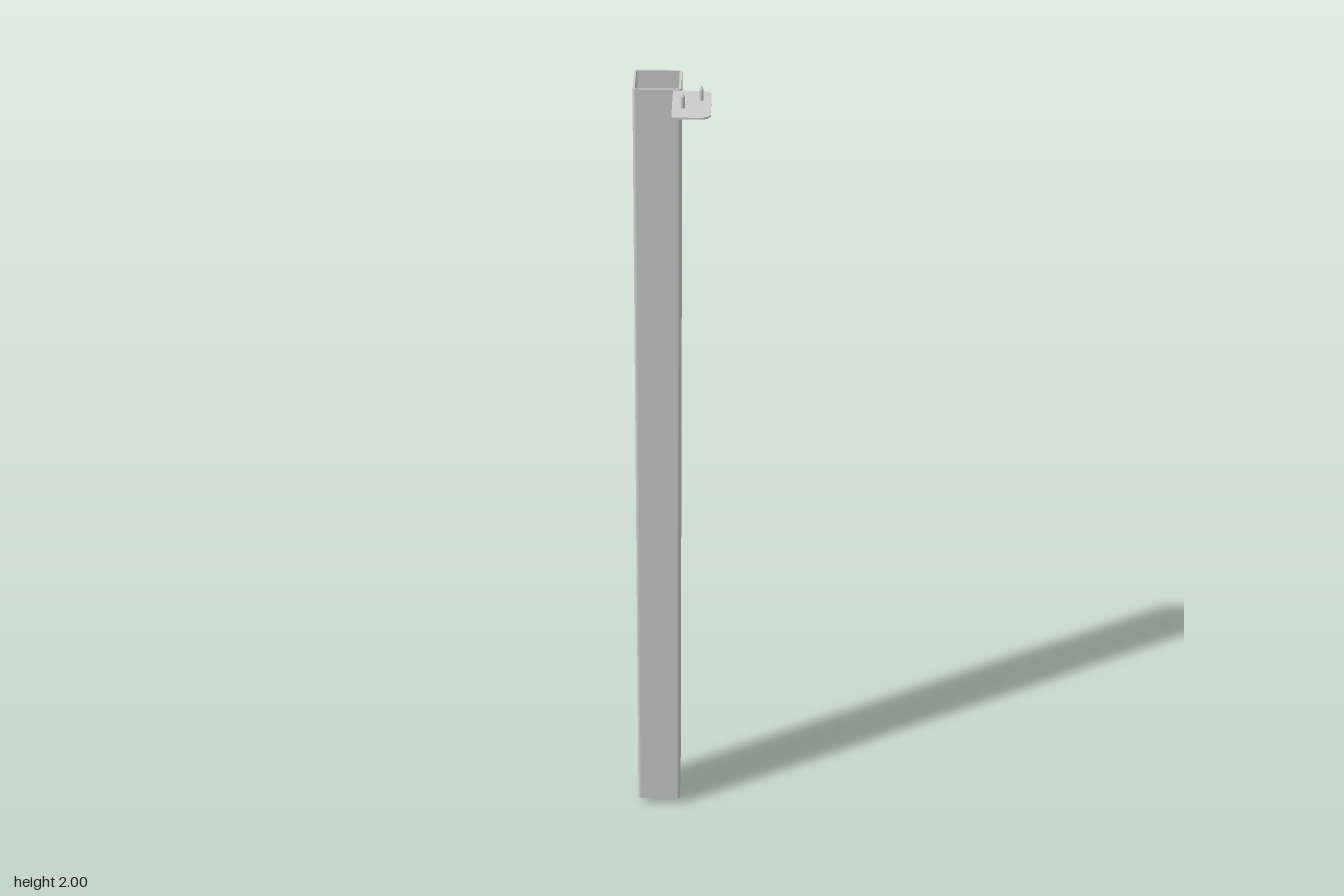
import * as THREE from 'three';

const grey = new THREE.MeshStandardMaterial({ color: 0xcccccc, side: THREE.DoubleSide });
const black = new THREE.MeshStandardMaterial({ color: 0x0a0a0a });
const flatGrey = new THREE.MeshStandardMaterial({ color: 0xcccccc, flatShading: true });
const CX = -0.034, CZ = -0.072; // axis of the leg

// Rectangle path; radii in order: bottom left, bottom right, top right, top left
function roundedRect(path, x0, y0, x1, y1, [a, b, c, d]) {
  path.moveTo(x0 + a, y0);
  path.lineTo(x1 - b, y0);
  if (b) path.absarc(x1 - b, y0 + b, b, -Math.PI / 2, 0);
  path.lineTo(x1, y1 - c);
  if (c) path.absarc(x1 - c, y1 - c, c, 0, Math.PI / 2);
  path.lineTo(x0 + d, y1);
  if (d) path.absarc(x0 + d, y1 - d, d, Math.PI / 2, Math.PI);
  path.lineTo(x0, y0 + a);
  if (a) path.absarc(x0 + a, y0 + a, a, Math.PI, Math.PI * 1.5);
  return path;
}

// Extrude a plan shape (x, -z) upward from y = 0
function extrudeUp(shape, height) {
  const geometry = new THREE.ExtrudeGeometry(shape, { depth: height, bevelEnabled: false, curveSegments: 6 });
  return geometry.rotateX(-Math.PI / 2);
}

export function createModel() {
  const model = new THREE.Group();
  const add = (name, geometry, material, x, y, z) => {
    const mesh = new THREE.Mesh(geometry, material);
    mesh.name = name;
    mesh.position.set(x, y, z);
    model.add(mesh);
    return mesh;
  };

  // Square hollow leg
  const half = 0.0525, inner = 0.0475;
  const section = roundedRect(new THREE.Shape(), -half, -half, half, half, [0.007, 0.007, 0.007, 0.007]);
  section.holes.push(roundedRect(new THREE.Path(), -inner, -inner, inner, inner, [0.003, 0.003, 0.003, 0.003]));
  add('legTube', extrudeUp(section, 1.945), grey, CX, 0.02, CZ);

  // End plug with its gripping ribs
  add('endPlug', new THREE.BoxGeometry(0.094, 0.012, 0.094), grey, CX, 0.031, CZ);
  for (const dx of [-0.021, 0.021])
    add('plugRibBack', new THREE.BoxGeometry(0.028, 0.04, 0.004), grey, CX + dx, 0.055, CZ - 0.0445);
  for (const [dx, width] of [[-0.04, 0.013], [0, 0.014], [0.04, 0.013]])
    add('plugRibFront', new THREE.BoxGeometry(width, 0.04, 0.004), grey, CX + dx, 0.055, CZ + 0.0455);

  // Adjustable foot with stem and hexagonal nut
  const footProfile = [[0, 0], [0.027, 0], [0.031, 0.003], [0.031, 0.016], [0.028, 0.018], [0, 0.018]]
    .map(([r, y]) => new THREE.Vector2(r, y));
  const footMaterial = black.clone();
  footMaterial.flatShading = true;
  add('foot', new THREE.LatheGeometry(footProfile, 24), footMaterial, CX, 0, CZ);
  add('footStem', new THREE.CylinderGeometry(0.012, 0.012, 0.05, 16), black, CX, 0.04, CZ);
  add('footNut', new THREE.CylinderGeometry(0.021, 0.021, 0.02, 6), footMaterial, CX, 0.047, CZ);

  // Mounting plate, rounded on its outer side
  const plate = roundedRect(new THREE.Shape(), 0.001, -0.121, 0.084, 0.017, [0, 0.02, 0.02, 0]);
  add('mountingPlate', extrudeUp(plate, 0.004), grey, 0, 1.96, 0);

  // Pointed screws standing through the plate
  const screwProfile = [[0, 0], [0.006, 0], [0.007, 0.003], [0.0045, 0.01], [0.0045, 0.034], [0, 0.046]]
    .map(([r, y]) => new THREE.Vector2(r, y));
  for (const [x, z] of [[0.063, 0.032], [0.024, 0.071]])
    add('screw', new THREE.LatheGeometry(screwProfile, 8), flatGrey, x, 1.954, z);

  return model;
}
